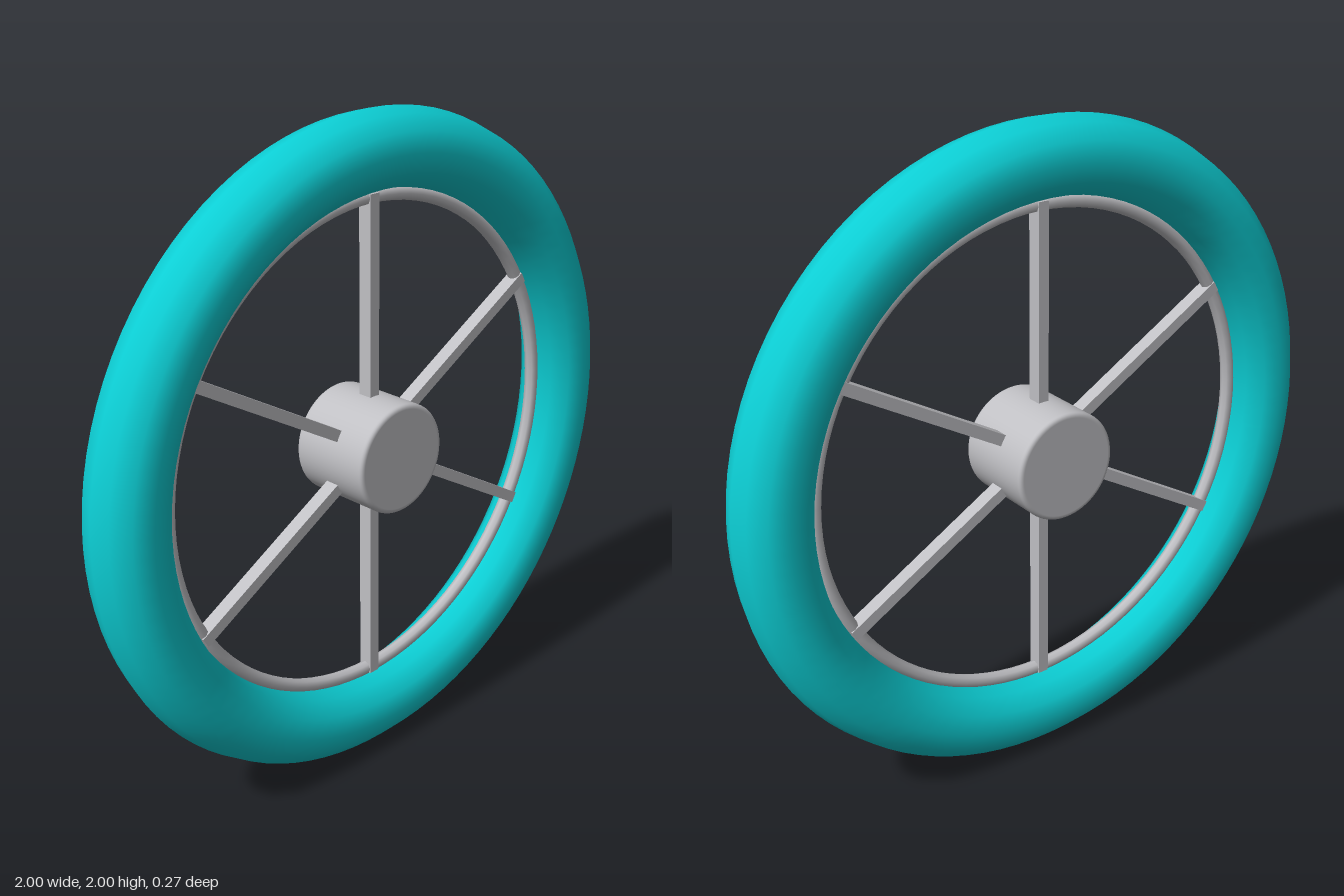
import * as THREE from 'three';

export function createModel() {
  const rubber = new THREE.MeshStandardMaterial({ color: 0x0cced4 });
  rubber.name = 'turquoise';
  const metal = new THREE.MeshStandardMaterial({ color: 0xc0c0c4 });
  metal.name = 'silver';

  const wheel = new THREE.Group();
  wheel.name = 'wheel';
  const add = (name, geometry, material) => {
    const mesh = new THREE.Mesh(geometry, material);
    mesh.name = name;
    mesh.position.y = 1;
    wheel.add(mesh);
    return mesh;
  };

  // Tyre and the thin rim lining its inside
  add('tyre', new THREE.TorusGeometry(0.885, 0.115, 12, 96), rubber);
  add('rim', new THREE.TorusGeometry(0.756, 0.021, 8, 96), metal);

  // Hub: a drum with softly rounded edges, turned about z
  const radius = 0.168, half = 0.135, fillet = 0.012;
  const profile = [];
  for (let i = 0; i <= 4; i++) {
    const a = (i / 4) * Math.PI / 2;
    profile.push(new THREE.Vector2(
      radius - fillet + fillet * Math.sin(a),
      -half + fillet - fillet * Math.cos(a)));
  }
  const upper = profile.map(p => new THREE.Vector2(p.x, -p.y)).reverse();
  const inner = radius - fillet - 0.003;
  const side = half - fillet - 0.003;
  const hub = new THREE.LatheGeometry([
    new THREE.Vector2(0, -half), new THREE.Vector2(inner, -half), ...profile,
    new THREE.Vector2(radius, -side), new THREE.Vector2(radius, side),
    ...upper, new THREE.Vector2(inner, half), new THREE.Vector2(0, half),
  ], 64);
  hub.rotateX(Math.PI / 2);
  add('hub', hub, metal);

  // Six spokes from inside the hub to the rim
  const start = 0.1, end = 0.768;
  const spoke = new THREE.BoxGeometry(0.035, end - start, 0.045);
  spoke.translate(0, (start + end) / 2, 0);
  for (let i = 0; i < 6; i++) {
    add('spoke' + (i + 1), spoke, metal).rotation.z = (i * Math.PI) / 3;
  }
  return wheel;
}
